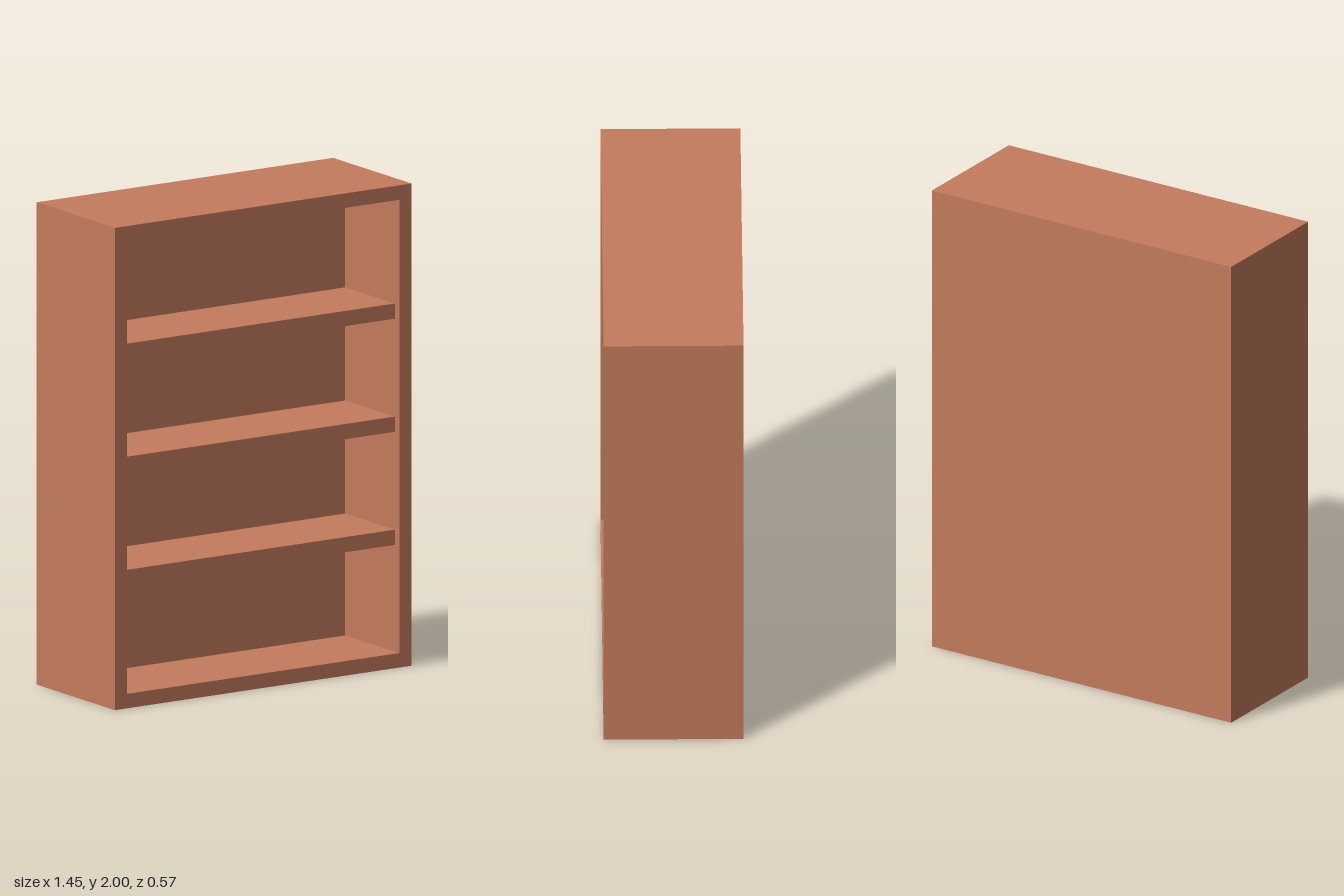
import * as THREE from 'three';

const WIDTH = 1.45, HEIGHT = 2, DEPTH = 0.566, WALL = 0.06;
const BACK_FACE = -0.107;      // z of the inner back wall
const SHELF_FRONT = 0.25;      // shelves sit slightly behind the frame

export function createModel() {
  const group = new THREE.Group();
  group.name = 'bookcase';
  const wood = new THREE.MeshStandardMaterial({ color: 0xc47b5d });
  wood.name = 'terracotta wood';

  const add = (name, geometry, x = 0, y = 0, z = 0) => {
    const mesh = new THREE.Mesh(geometry, wood);
    mesh.name = name;
    mesh.position.set(x, y, z);
    group.add(mesh);
  };
  const rectangle = (path, x, y0, y1) =>
    path.moveTo(-x, y0).lineTo(x, y0).lineTo(x, y1).lineTo(-x, y1).closePath();

  // Outer case: a rectangular frame with one large opening
  const innerX = WIDTH / 2 - WALL;
  const outline = rectangle(new THREE.Shape(), WIDTH / 2, 0, HEIGHT);
  outline.holes.push(rectangle(new THREE.Path(), innerX, WALL, HEIGHT - WALL));
  add('caseFrame', new THREE.ExtrudeGeometry(outline, { depth: DEPTH, bevelEnabled: false }), 0, 0, -DEPTH / 2);

  // Thick back panel filling the rear of the opening
  const backDepth = BACK_FACE + DEPTH / 2;
  add('backPanel', new THREE.BoxGeometry(innerX * 2, HEIGHT - 2 * WALL, backDepth),
    0, HEIGHT / 2, BACK_FACE - backDepth / 2);

  // Three evenly spaced shelves
  const shelfDepth = SHELF_FRONT - BACK_FACE;
  for (let i = -1; i <= 1; i++) {
    add(`shelf${i + 2}`, new THREE.BoxGeometry(innerX * 2, 0.063, shelfDepth),
      0, 1.003 + i * 0.469, BACK_FACE + shelfDepth / 2);
  }
  return group;
}
